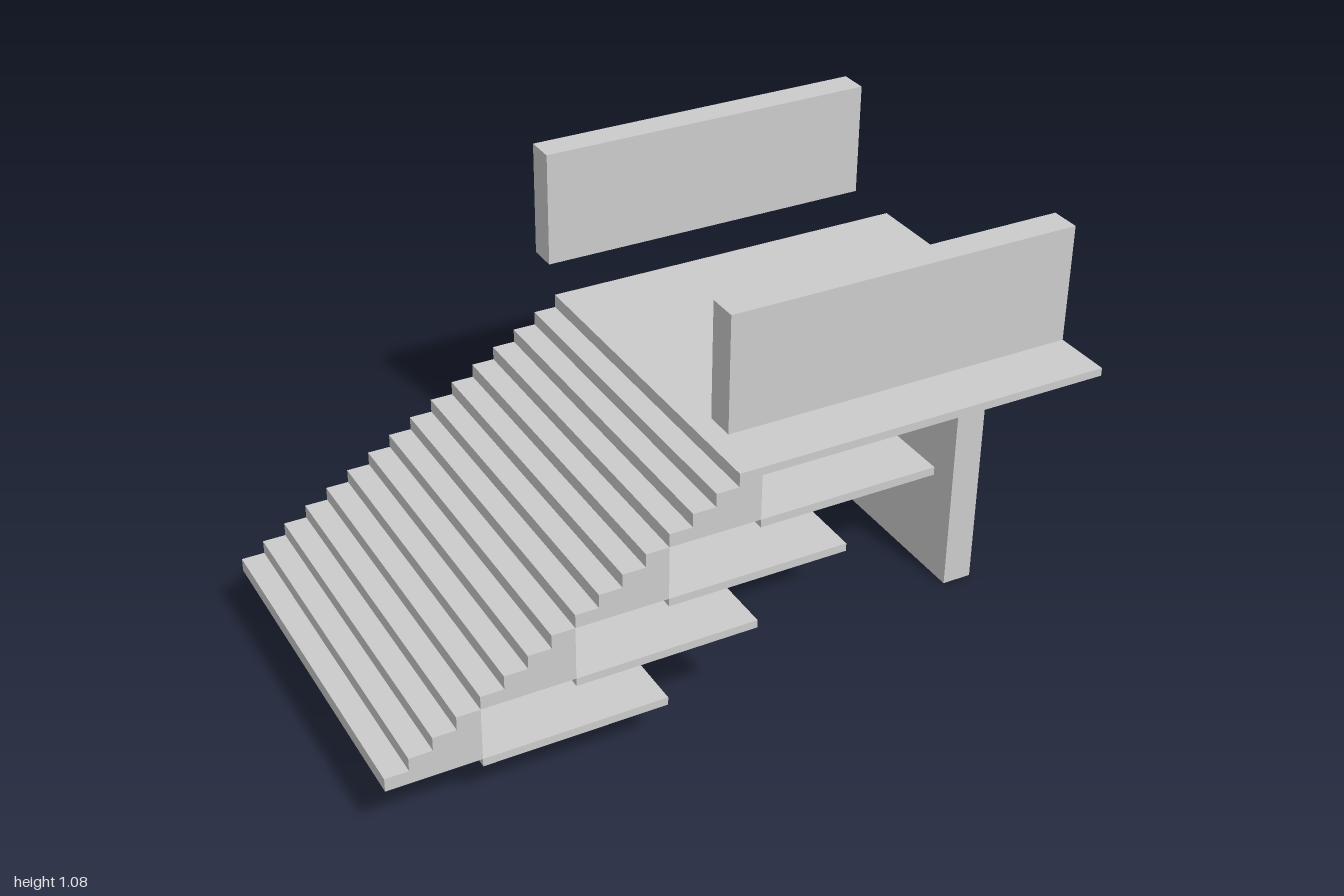
import * as THREE from 'three';

const FLIGHTS = 4, STEPS = 4;
const RUN = 0.0625, RISE = 0.0375;
const FLIGHT_RUN = RUN * STEPS, FLIGHT_RISE = RISE * STEPS;
const Z_BACK = -0.375, Z_FRONT = 0.625, DEPTH = Z_FRONT - Z_BACK;
const SLAB = 0.0225, RIB = 0.03, WALL = 0.02;

export function createModel() {
  const model = new THREE.Group();
  model.name = 'stairAndLanding';
  const material = new THREE.MeshStandardMaterial({ color: 0xcccccc, flatShading: true });

  const add = (parent, name, geometry) => {
    const mesh = new THREE.Mesh(geometry, material);
    mesh.name = name;
    parent.add(mesh);
    return mesh;
  };

  // Box given by its minimum and maximum corners
  const box = (name, x0, x1, y0, y1, z0, z1) => {
    const mesh = add(model, name, new THREE.BoxGeometry(x1 - x0, y1 - y0, z1 - z0));
    mesh.position.set((x0 + x1) / 2, (y0 + y1) / 2, (z0 + z1) / 2);
  };

  // Sawtooth top edge of one flight, running up from the lower left corner
  const stepPoints = () => {
    const points = [[0, 0]];
    for (let i = 0; i < STEPS; i++) {
      points.push([i * RUN, (i + 1) * RISE], [(i + 1) * RUN, (i + 1) * RISE]);
    }
    points.push([FLIGHT_RUN, 0]);
    return points;
  };

  const extrude = (points, depth) => new THREE.ExtrudeGeometry(
    new THREE.Shape(points.map(([x, y]) => new THREE.Vector2(x, y))),
    { depth, bevelEnabled: false });

  // Solid stringer, and the hollow steps with a back wall that fill the bays
  const ribGeometry = extrude(stepPoints(), RIB);
  const underside = [[FLIGHT_RUN - WALL, 0]];
  for (let i = STEPS - 1; i > 0; i--) {
    const right = i === STEPS - 1 ? FLIGHT_RUN - WALL : (i + 1) * RUN;
    underside.push([right, i * RISE], [i * RUN, i * RISE]);
  }
  underside.push([RUN, 0]);
  const bay = (DEPTH - RIB) / 4;
  const bayGeometry = extrude([...stepPoints(), ...underside], bay - RIB);

  for (let f = 0; f < FLIGHTS; f++) {
    const x = -1 + f * FLIGHT_RUN, y = FLIGHT_RISE * (f + 1);

    // Flight of four steps
    const flight = new THREE.Group();
    flight.name = 'flight' + (f + 1);
    flight.position.set(x, y, Z_BACK);
    model.add(flight);
    for (let r = 0; r <= 4; r++) {
      add(flight, 'stringer', ribGeometry).position.z = r * bay;
      if (r < 4) add(flight, 'steps', bayGeometry).position.z = r * bay + RIB;
    }

    // Thin plate behind the foot of each flight
    const px = x + FLIGHT_RUN;
    box('supportPlate' + (f + 1), px, px + 0.5, y - SLAB, y, Z_BACK, Z_FRONT);
  }

  // Landing, its support wall and the two parapets
  box('landing', 0, 1, 0.75 - SLAB, 0.75, Z_BACK, Z_FRONT);
  box('supportWall', 0.75, 0.835, 0, 0.6, -0.375, 0.375);
  box('frontParapet', 0, 1, 0.75, 1.08, 0.375, 0.46);
  box('backParapet', 0, 1, 0.75, 1.08, -0.625, -0.54);

  return model;
}
